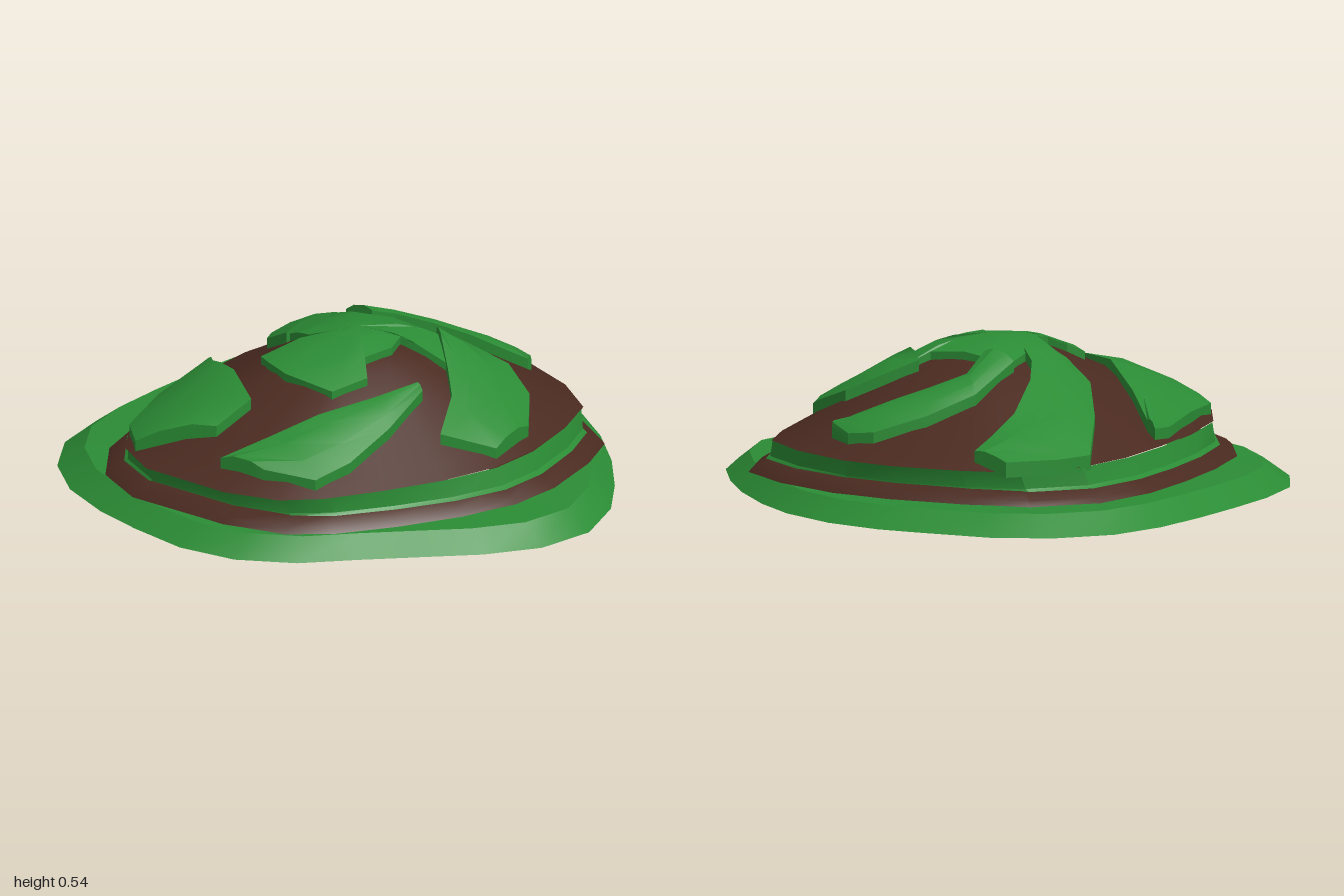
import * as THREE from 'three';
import { toCreasedNormals } from 'three/addons/utils/BufferGeometryUtils.js';

const green = new THREE.MeshStandardMaterial({ color: 0x2b8c35 });
const brown = new THREE.MeshStandardMaterial({ color: 0x4a2a20 });
const underBrown = new THREE.MeshStandardMaterial({ color: 0x4a2a20 });

// Plan outlines as [x, z], running clockwise seen from above
const SKIRT = [[-0.19, -1], [0.03, -0.985], [0.25, -0.96], [0.47, -0.92], [0.67, -0.84], [0.83, -0.68],
  [0.92, -0.48], [0.95, -0.2], [0.96, -0.05], [0.93, 0.16], [0.84, 0.37], [0.72, 0.53], [0.56, 0.69],
  [0.38, 0.83], [0.2, 0.94], [-0.02, 1], [-0.23, 0.945], [-0.4, 0.81], [-0.54, 0.65], [-0.69, 0.48],
  [-0.84, 0.32], [-0.94, 0.12], [-0.96, -0.1], [-0.91, -0.33], [-0.85, -0.52], [-0.75, -0.72],
  [-0.6, -0.88], [-0.41, -0.98]];
const SHOULDER = [[-0.81, -0.35], [-0.7, -0.52], [-0.5, -0.63], [-0.25, -0.67], [0, -0.68], [0.25, -0.67],
  [0.5, -0.61], [0.68, -0.45], [0.74, -0.25], [0.77, 0], [0.75, 0.2], [0.66, 0.42], [0.53, 0.59],
  [0.35, 0.64], [0.1, 0.67], [-0.1, 0.65], [-0.3, 0.57], [-0.5, 0.45], [-0.68, 0.32], [-0.78, 0.2], [-0.83, 0]];
const CAP = [[-0.34, -0.08], [-0.3, -0.18], [-0.25, -0.25], [-0.21, -0.2], [-0.2, -0.13], [-0.12, -0.13],
  [-0.07, -0.22], [-0.03, -0.29], [0.07, -0.25], [0.09, -0.19], [0.21, -0.19], [0.2, 0.0], [0.2, 0.13],
  [0.27, 0.2], [0.2, 0.3], [0.1, 0.3], [0.07, 0.2], [0.05, 0.14], [-0.03, 0.16], [-0.15, 0.12],
  [-0.21, 0.18], [-0.34, 0.12]];

// Dome height by distance from the centre, as a share of the shoulder outline
const DOME = [[0, 0.5], [0.2, 0.49], [0.35, 0.45], [0.55, 0.37], [0.75, 0.29], [0.9, 0.23], [1, 0.19]];

function domeY(x, z) {
  let t = 0;
  SHOULDER.forEach(([ax, az], i) => {
    const [bx, bz] = SHOULDER[(i + 1) % SHOULDER.length];
    // distance along the edge normal gives the share for a convex outline
    const nx = bz - az, nz = ax - bx;
    t = Math.max(t, (x * nx + z * nz) / (ax * nx + az * nz));
  });
  t = Math.min(t, 1);
  const i = Math.max(1, DOME.findIndex(([s]) => s >= t));
  const [t0, y0] = DOME[i - 1], [t1, y1] = DOME[i];
  return y0 + (y1 - y0) * (t - t0) / (t1 - t0);
}

// Skin over a list of rings of [x, y, z] points
function loft(rings, closed = true, crease = 0.5) {
  const n = rings[0].length, idx = [];
  for (let i = 0; i < rings.length - 1; i++) {
    for (let j = 0; j < (closed ? n : n - 1); j++) {
      const a = i * n + j, b = i * n + (j + 1) % n;
      idx.push(a, a + n, b, a + n, b + n, b);
    }
  }
  const g = new THREE.BufferGeometry();
  g.setAttribute('position', new THREE.Float32BufferAttribute(rings.flat(2), 3));
  g.setIndex(idx);
  return toCreasedNormals(g, crease);
}

const ring = (outline, y, sx, sz = sx) => outline.map(([x, z]) => [x * sx, y, z * sz]);

// Leaves: pairs of edge points [outerX, outerZ, innerX, innerZ] along the length
const LEAVES = {
  backLeftLeaf: [[-0.72, -0.46, -0.62, -0.18], [-0.6, -0.57, -0.48, -0.13], [-0.35, -0.62, -0.33, -0.31],
    [-0.1, -0.66, -0.17, -0.48], [-0.01, -0.65, -0.03, -0.61]],
  backRightLeaf: [[-0.05, -0.28, 0.08, -0.18], [0, -0.4, 0.14, -0.24], [0.2, -0.52, 0.25, -0.29],
    [0.45, -0.63, 0.45, -0.33], [0.58, -0.57, 0.6, -0.31], [0.71, -0.43, 0.68, -0.29]],
  rightLeaf: [[0.2, -0.2, 0.19, -0.08], [0.42, -0.16, 0.33, -0.08], [0.56, -0.04, 0.42, 0.02],
    [0.66, 0.12, 0.49, 0.13], [0.66, 0.22, 0.55, 0.25], [0.61, 0.31, 0.59, 0.31]],
  frontLeaf: [[0.27, 0.14, 0.15, 0.25], [0.32, 0.25, 0.07, 0.33], [0.37, 0.38, -0.02, 0.41],
    [0.3, 0.52, -0.19, 0.48], [0.15, 0.62, -0.06, 0.63]],
  leftLeaf: [[-0.74, -0.08, -0.73, 0.1], [-0.6, 0.04, -0.67, 0.28], [-0.45, 0.14, -0.53, 0.33],
    [-0.25, 0.25, -0.32, 0.35], [-0.1, 0.31, -0.1, 0.34]],
};

function leafGeometry(pairs) {
  const across = [0, 0, 0.3, 0.7, 1, 1];
  const section = ([ax, az, bx, bz], flat) => across.map((s, k) => {
    const x = bx + (ax - bx) * s, z = bz + (az - bz) * s;
    const edge = k === 0 || k === across.length - 1;
    const lift = flat || edge ? -0.015 : s === 0 || s === 1 ? 0.04 : 0.055;
    return [x, domeY(x, z) + lift, z];
  });
  const rings = pairs.map((p) => section(p, false));
  return loft([section(pairs[0], true), ...rings, section(pairs.at(-1), true)], false, 0.45);
}

export function createModel() {
  const model = new THREE.Group();
  const add = (name, geometry, material) => {
    const mesh = new THREE.Mesh(geometry, material);
    mesh.name = name;
    model.add(mesh);
  };

  // Sloping skirt with its flat top, and the underside
  add('skirt', loft([ring(SKIRT, 0, 1), ring(SKIRT, 0.07, 0.91), ring(SKIRT, 0.075, 0.7)]), green);
  add('underside', loft([ring(SKIRT, 0, 0), ring(SKIRT, 0, 1)]), underBrown);

  // Stepped foot, wrapped band and dome
  add('foot', loft([ring(SHOULDER, 0.07, 1.01, 1.15), ring(SHOULDER, 0.09, 0.99, 1.12),
    ring(SHOULDER, 0.12, 0.93, 1.02), ring(SHOULDER, 0.13, 0.85)]), brown);
  add('band', loft([ring(SHOULDER, 0.115, 0.93, 1.07), ring(SHOULDER, 0.125, 0.93, 1.04),
    ring(SHOULDER, 0.19, 0.96, 1.01)]), green);
  const dome = [...DOME].reverse().map(([t, y]) => ring(SHOULDER, y, t));
  add('dome', loft([ring(SHOULDER, 0.18, 0.9), ...dome], true, 0.7), brown);

  // Swirling leaves
  for (const [name, pairs] of Object.entries(LEAVES)) add(name, leafGeometry(pairs), green);

  // Ragged cap on the crown
  const capRing = (s, lift) => CAP.map(([x, z]) => [x * s, domeY(x * s, z * s) + lift, z * s]);
  add('cap', loft([capRing(1, -0.02), capRing(1, 0.03), capRing(0.6, 0.035), ring(CAP, 0.54, 0)]), green);

  return model;
}
